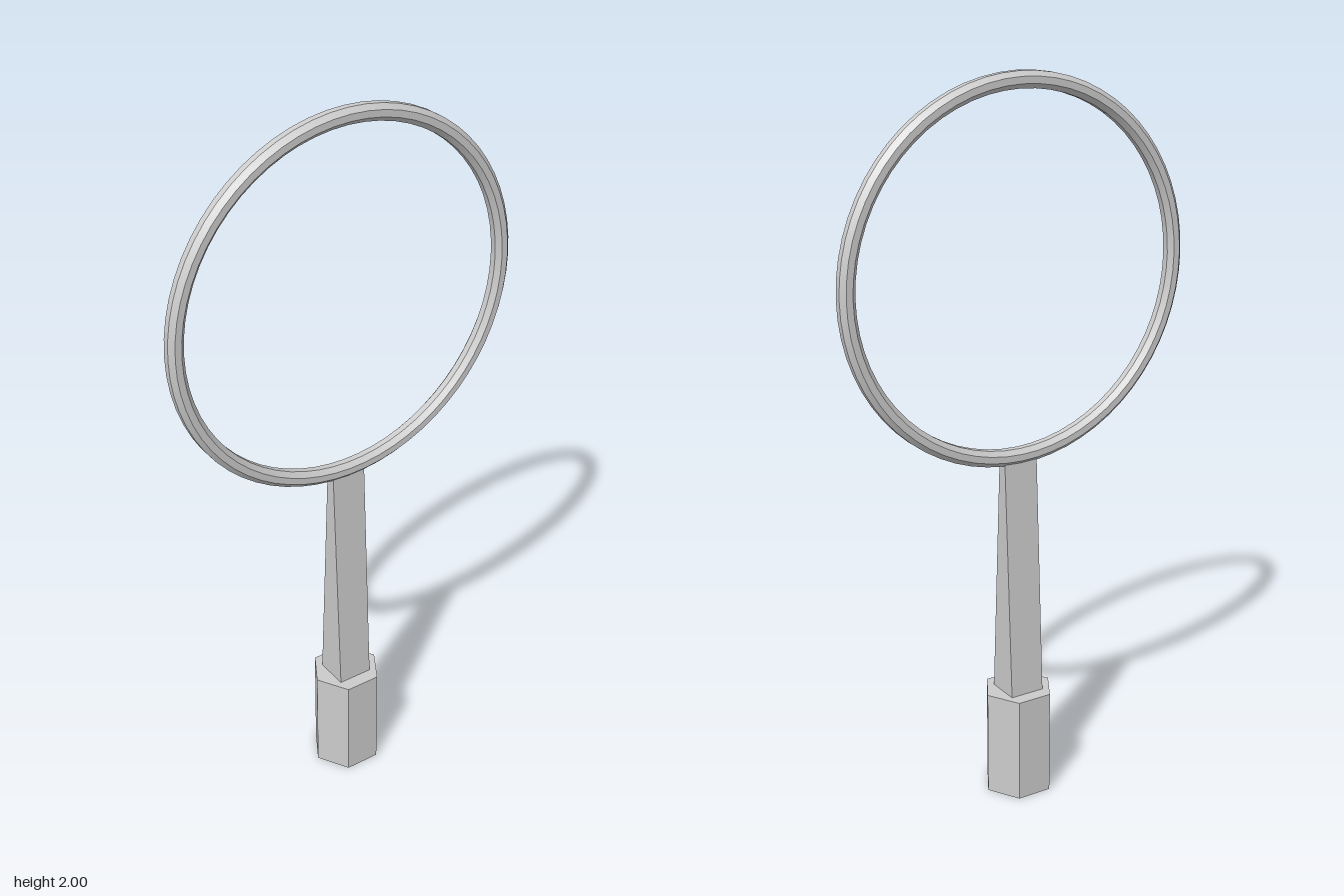
import * as THREE from 'three';
import { toCreasedNormals } from 'three/addons/utils/BufferGeometryUtils.js';

export function createModel() {
  const model = new THREE.Group();
  const add = (name, geometry, options = {}) => {
    const material = new THREE.MeshStandardMaterial({ color: 0xcccccc, ...options });
    const mesh = new THREE.Mesh(geometry, material);
    mesh.name = name;
    model.add(mesh);
    return mesh;
  };

  // Hoop: octagonal section swept round, flats facing outwards and forwards
  const ringRadius = 0.494, halfThickness = 0.022, sides = 8;
  const section = [];
  for (let i = 0; i <= sides; i++) {
    const a = ((i + 0.5) / sides) * Math.PI * 2;
    const r = halfThickness / Math.cos(Math.PI / sides);
    section.push(new THREE.Vector2(ringRadius + r * Math.cos(a), r * Math.sin(a)));
  }
  const hoop = add('hoop', toCreasedNormals(new THREE.LatheGeometry(section, 64), 0.5));
  hoop.rotation.x = Math.PI / 2;
  hoop.position.y = 2 - ringRadius - halfThickness;

  // Neck: constant width, tapering in depth towards the hoop
  const bottom = 0.3, top = 0.99;
  const neckShape = new THREE.Shape([
    new THREE.Vector2(-0.048, bottom),
    new THREE.Vector2(0.048, bottom),
    new THREE.Vector2(0.013, top),
    new THREE.Vector2(-0.013, top),
  ]);
  const neck = new THREE.ExtrudeGeometry(neckShape, { depth: 0.1, bevelEnabled: false });
  neck.translate(0, 0, -0.05).rotateY(Math.PI / 2);
  add('neck', neck, { flatShading: true });

  // Grip: hexagonal sleeve, closed on top and open below
  const faceted = { flatShading: true, side: THREE.DoubleSide };
  const grip = new THREE.CylinderGeometry(0.1, 0.1, bottom, 6, 1, true);
  grip.rotateY(Math.PI / 6).translate(0, bottom / 2, 0);
  add('grip', grip, faceted);
  const cap = new THREE.CircleGeometry(0.1, 6);
  cap.rotateX(-Math.PI / 2).translate(0, bottom, 0);
  add('gripTop', cap, faceted);

  return model;
}
